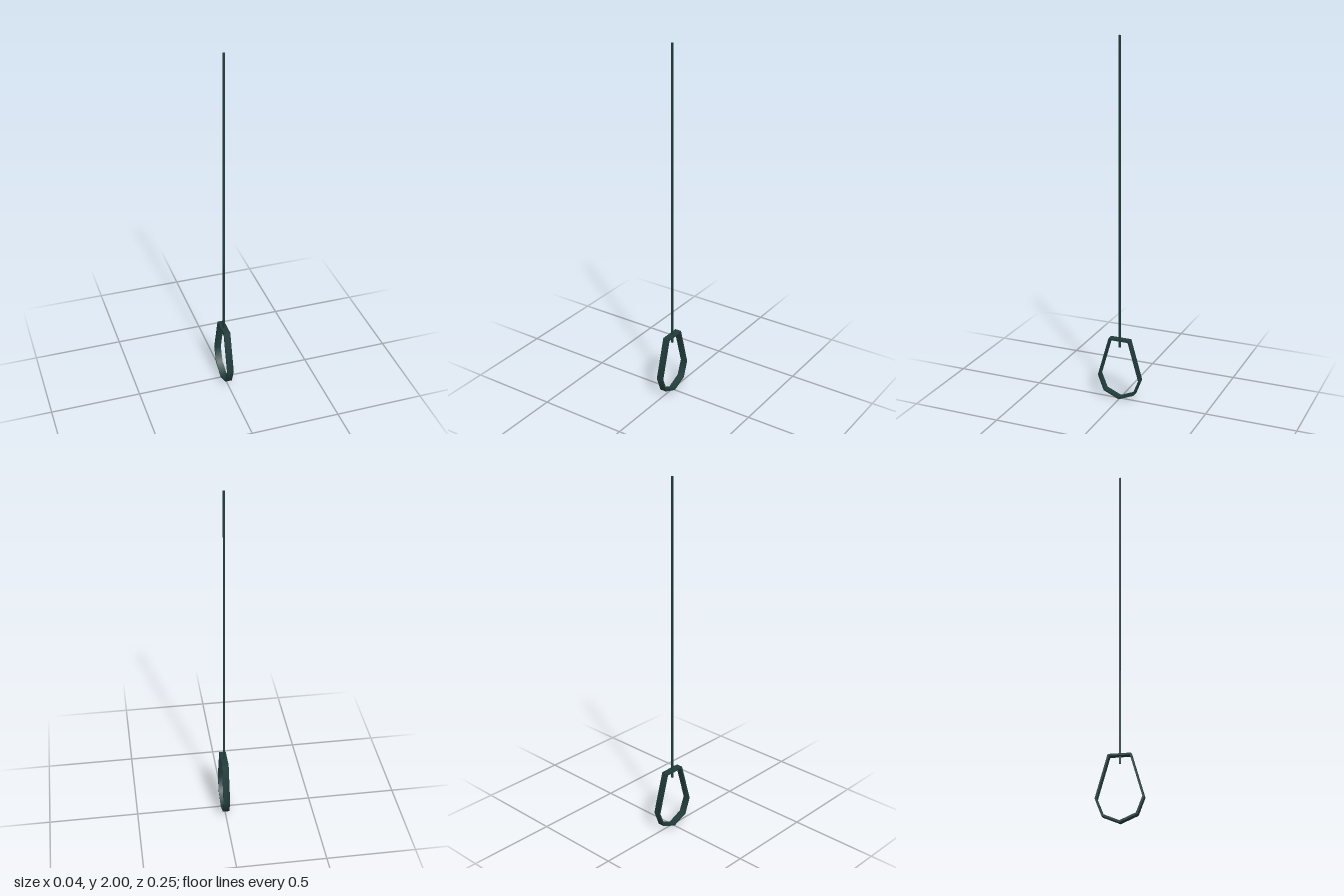
import * as THREE from 'three';
import { toCreasedNormals } from 'three/addons/utils/BufferGeometryUtils.js';

export function createModel() {
  const model = new THREE.Group();
  const darkTeal = new THREE.MeshStandardMaterial({ color: 0x203c3b });

  // Right half of the handle outline, from top corner down, mirrored to close it
  const outline = (half, bottom) => [
    ...half,
    bottom,
    ...half.map(([u, v]) => [-u, v]).reverse(),
  ].map(([u, v]) => new THREE.Vector2(u, v));

  const outer = outline([[0.06, 0.355], [0.125, 0.127], [0.09, 0.038]], [0, 0]);
  const inner = outline([[0.053, 0.345], [0.115, 0.128], [0.082, 0.046]], [0, 0.011]);

  // Flat band bent into a seven-sided pull handle, soft at the lower bends
  const width = 0.037;
  const shape = new THREE.Shape(outer);
  shape.holes.push(new THREE.Path(inner.reverse()));
  const band = new THREE.ExtrudeGeometry(shape, { depth: width, bevelEnabled: false });
  band.translate(0, 0, -width / 2);
  band.rotateY(Math.PI / 2);
  const handle = new THREE.Mesh(toCreasedNormals(band, THREE.MathUtils.degToRad(58)), darkTeal);
  handle.name = 'pullHandle';
  model.add(handle);

  // Thin square cord passing through the top of the handle
  const cordBottom = 0.305;
  const cord = new THREE.Mesh(new THREE.BoxGeometry(0.01, 2 - cordBottom, 0.01), darkTeal);
  cord.position.y = (2 + cordBottom) / 2;
  cord.name = 'cord';
  model.add(cord);

  return model;
}
